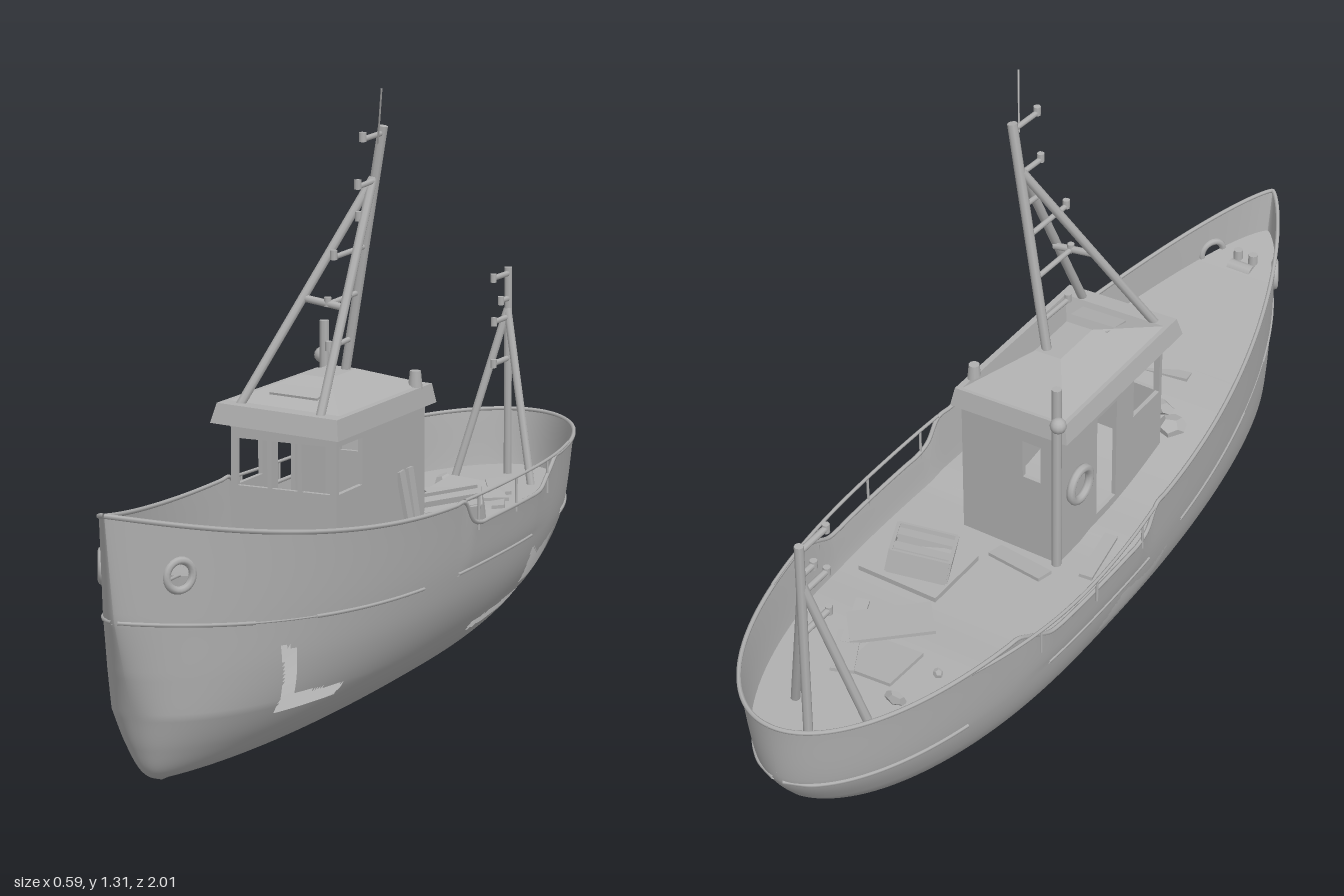
import * as THREE from 'three';

const grey = new THREE.MeshStandardMaterial({ color: 0xb0b0b0, side: THREE.DoubleSide });
grey.name = 'weathered grey';
const V = (x, y, z) => new THREE.Vector3(x, y, z);

function add(parent, name, geo, pos = [0, 0, 0], rot = [0, 0, 0]) {
  const m = new THREE.Mesh(geo, grey);
  m.name = name;
  m.position.set(...pos);
  m.rotation.set(...rot);
  parent.add(m);
  return m;
}
// straight round bar between two points
function bar(parent, name, a, b, r) {
  const p = V(...a), d = V(...b).sub(p);
  const m = add(parent, name, new THREE.CylinderGeometry(r, r, d.length(), 8));
  m.position.copy(p).addScaledVector(d, 0.5);
  m.quaternion.setFromUnitVectors(V(0, 1, 0), d.normalize());
}
const pipe = (parent, name, pts, r) =>
  add(parent, name, new THREE.TubeGeometry(new THREE.CatmullRomCurve3(pts), pts.length * 3, r, 6));

// hull levels from keel to bulwark top: half width, height / bow z, stern z
const section = new THREE.CatmullRomCurve3([[0, 0.005], [0.1, 0.025], [0.165, 0.07], [0.215, 0.13],
  [0.25, 0.2], [0.271, 0.285], [0.287, 0.443]].map(p => V(p[0], p[1], 0)));
const ends = new THREE.CatmullRomCurve3([[0.8, -0.62], [0.85, -0.68], [0.88, -0.76], [0.905, -0.85],
  [0.935, -0.93], [0.97, -0.985], [1, -1]].map(p => V(p[0], p[1], 0)));
const RUB = 5 / 6;
const clamp = THREE.MathUtils.clamp;
// outline in plan: round stern, pointed bow that is fuller low down
const plan = (t, v) => t < 0.4
  ? Math.max(0, 1 - ((0.4 - t) / 0.4) ** 2.4) ** (0.5 + 0.25 * (1 - v))
  : Math.max(0, 1 - ((t - 0.4) / 0.6) ** 2.2) ** Math.max(0.45, 0.1 + 0.7 * v);

function hullPoint(t, v, side) {
  const s = section.getPoint(v), e = ends.getPoint(v);
  const z = e.y + (e.x - e.y) * t, fore = Math.max(0, z);
  const dip = 0.058 * clamp(Math.min(-z / 0.05, (z + 0.52) / 0.11), 0, 1);
  const y = s.y + 0.15 * fore ** 2 * (s.y / 0.443) + 0.04 * fore ** 3 * (1 - v) - dip * Math.max(0, v - RUB) * 6;
  return V(side * s.x * plan(t, v), y, z);
}
const tAt = (z, v) => { const e = ends.getPoint(v); return clamp((z - e.y) / (e.x - e.y), 0, 1); };

// wreck holes as outlines in z, y for each side
const holes = {
  1: [[[0.63, 0.28], [0.58, 0.255], [0.567, 0.163], [0.395, 0.142], [0.41, 0.12], [0.615, 0.13], [0.61, 0.2]],
    [[-0.43, 0.255], [-0.487, 0.225], [-0.615, 0.255], [-0.59, 0.2], [-0.585, 0.16], [-0.43, 0.165]],
    [[-0.19, 0.108], [-0.187, 0.128], [-0.43, 0.145], [-0.58, 0.145], [-0.57, 0.125], [-0.525, 0.11]]],
  [-1]: [[[0.1, 0.25], [0.02, 0.23], [-0.1, 0.26], [-0.2, 0.2], [-0.05, 0.18], [0.06, 0.2]]]
};
function inside(poly, z, y) {
  let c = false;
  poly.forEach(([az, ay], i) => {
    const [bz, by] = poly[(i + 1) % poly.length];
    if ((ay > y) !== (by > y) && z < az + (bz - az) * (y - ay) / (by - ay)) c = !c;
  });
  return c;
}
function gridGeometry(pos, idx) {
  const g = new THREE.BufferGeometry();
  g.setAttribute('position', new THREE.Float32BufferAttribute(pos, 3));
  g.setIndex(idx);
  g.computeVertexNormals();
  return g;
}
const along = (i, n) => (1 - Math.cos(Math.PI * i / n)) / 2;
function hullSide(side) {
  const N = 260, M = 60, P = [], idx = [];
  for (let j = 0; j <= M; j++) for (let i = 0; i <= N; i++) P.push(hullPoint(along(i, N), j / M, side));
  const tri = (a, b, c) => {
    const z = (P[a].z + P[b].z + P[c].z) / 3, y = (P[a].y + P[b].y + P[c].y) / 3;
    if (Math.hypot(z - 0.87, y - 0.46) < 0.026 || holes[side].some(h => inside(h, z, y))) return;
    side > 0 ? idx.push(a, b, c) : idx.push(a, c, b);
  };
  for (let j = 0; j < M; j++) for (let i = 0; i < N; i++) {
    const a = j * (N + 1) + i, up = a + N + 1;
    tri(a, up, a + 1);
    tri(a + 1, up, up + 1);
  }
  return gridGeometry(P.flatMap(p => p.toArray()), idx);
}
// deck spans the hull, rising a little towards the bow
function deckGeometry() {
  const N = 80, pos = [], idx = [];
  for (let i = 0; i <= N; i++) for (const s of [-1, 1]) {
    const t = along(i, N), p = hullPoint(t, 0.86 + 0.06 * THREE.MathUtils.smoothstep(t, 0.52, 0.75), s);
    pos.push(p.x * 0.995, p.y, p.z);
    if (s > 0 && i < N) { const a = i * 2; idx.push(a, a + 2, a + 1, a + 1, a + 2, a + 3); }
  }
  return gridGeometry(pos, idx);
}
// points along the hull at one level between two z values
const hullLine = (z0, z1, v, side, n) => Array.from({ length: n + 1 }, (_, i) =>
  hullPoint(tAt(z0 + (z1 - z0) * i / n, v), v, side));

// flat wall with rectangular openings [x0, y0, x1, y1]
function wall(w0, w1, y0, y1, openings) {
  const rect = (S, a, b, c, d) => { const s = new S(); s.moveTo(a, b); s.lineTo(c, b); s.lineTo(c, d); s.lineTo(a, d); s.closePath(); return s; };
  const shape = rect(THREE.Shape, w0, y0, w1, y1);
  shape.holes = openings.map(o => rect(THREE.Path, ...o));
  return new THREE.ExtrudeGeometry(shape, { depth: 0.01, bevelEnabled: false });
}
// box whose top face is scaled in
function taperedBox(w, h, d, sx, sz) {
  const g = new THREE.BoxGeometry(w, h, d).toNonIndexed(), p = g.attributes.position;
  for (let i = 0; i < p.count; i++) if (p.getY(i) > 0) { p.setX(i, p.getX(i) * sx); p.setZ(i, p.getZ(i) * sz); }
  g.computeVertexNormals();
  return g;
}

export function createModel() {
  const boat = new THREE.Group();
  boat.name = 'wreckedBoat';
  const group = name => { const g = new THREE.Group(); g.name = name; boat.add(g); return g; };

  // hull, deck, rails and hawse rings
  const hull = group('hull');
  for (const s of [1, -1]) {
    add(hull, 'hullSide', hullSide(s));
    pipe(hull, 'capRail', Array.from({ length: 81 }, (_, i) => hullPoint(along(i, 80), 1, s)), 0.005);
    for (const [a, b, r] of [[0.968, 0.7, 0.004], [0.7, 0.53, 0.002], [0.53, 0.15, 0.004], [0, -0.4, 0.004], [-0.65, -0.984, 0.005]])
      pipe(hull, 'rubRail', hullLine(a, b, RUB, s, 16), r);
    const ringX = hullPoint(tAt(0.87, 0.92), 0.92, s).x;
    add(hull, 'hawseRing', new THREE.TorusGeometry(0.029, 0.008, 8, 24), [ringX, 0.46, 0.87], [0, s * 1.05, 0]);
  }
  add(hull, 'deck', deckGeometry());

  // side rails over the low bulwark, the right one bent outward
  const rails = group('rails');
  for (const s of [1, -1]) {
    const pts = hullLine(0, -0.66, 1, s, 10);
    pts.forEach((p, i) => { p.y = s > 0 ? 0.447 : 0.44 - 0.015 * Math.sin(i * 0.31); if (s < 0) p.x -= 0.012 * Math.sin(i * 0.31); });
    pipe(rails, 'handRail', pts, 0.004);
    for (const i of [1, 4, 7]) bar(rails, 'railPost', [pts[i].x, 0.37, pts[i].z], pts[i].toArray(), 0.003);
  }

  // wheelhouse
  const cabin = group('wheelhouse');
  add(cabin, 'leftWall', wall(-0.29, 0.135, 0.29, 0.64, [[-0.283, 0.5, -0.17, 0.6]]), [0.115, 0, 0], [0, Math.PI / 2, 0]);
  add(cabin, 'rightWall', wall(-0.135, 0.29, 0.29, 0.64, [[0.17, 0.5, 0.283, 0.6], [0.02, 0.33, 0.1, 0.59]]), [-0.11, 0, 0], [0, -Math.PI / 2, 0]);
  add(cabin, 'frontWall', wall(-0.12, 0.125, 0.29, 0.64, [[-0.105, 0.5, -0.035, 0.6], [-0.025, 0.5, 0.035, 0.6], [0.045, 0.5, 0.11, 0.6]]), [0, 0, 0.28]);
  add(cabin, 'backWall', wall(-0.12, 0.125, 0.29, 0.64, [[-0.075, 0.5, -0.03, 0.595]]), [0, 0, -0.135]);
  add(cabin, 'roofRim', taperedBox(0.295, 0.042, 0.475, 0.94, 0.96), [0.003, 0.65, 0.095], [0, 0, -0.045]);
  add(cabin, 'roofCrown', taperedBox(0.26, 0.045, 0.42, 0.25, 0.3), [0.003, 0.692, 0.08], [0, 0, -0.045]);
  add(cabin, 'roofHatch', new THREE.BoxGeometry(0.11, 0.012, 0.08), [0, 0.692, 0.2], [0.2, 0, -0.04]);
  add(cabin, 'lifeRing', new THREE.TorusGeometry(0.038, 0.01, 8, 24), [-0.128, 0.47, -0.06], [0, Math.PI / 2, 0]);
  bar(cabin, 'exhaustPipe', [-0.125, 0.31, -0.15], [-0.125, 0.78, -0.15], 0.011);
  add(cabin, 'lamp', new THREE.SphereGeometry(0.018, 12, 8), [-0.138, 0.7, -0.165]);
  add(cabin, 'roofLamp', new THREE.CylinderGeometry(0.012, 0.016, 0.04, 10), [0.128, 0.68, -0.08]);
  for (const [z, lean] of [[-0.02, 0.1], [-0.055, 0.02]])
    add(cabin, 'leaningPlank', new THREE.BoxGeometry(0.01, 0.19, 0.025), [0.14, 0.4, z], [lean, 0, 0.15]);

  // main mast, leaning
  const mast = group('mainMast');
  const foot = V(0.015, 0.69, 0.035), head = V(0.115, 1.235, 0.055);
  bar(mast, 'mastPole', foot.toArray(), head.toArray(), 0.011);
  for (const x of [-0.1, 0.092]) bar(mast, 'mastLeg', [x, 0.66, 0.3], [0.092, 1.125, 0.055], 0.01);
  bar(mast, 'crossBar', [-0.01, 0.885, 0.18], [0.092, 0.87, 0.18], 0.008);
  for (const [y, z] of [[0.78, 0.14], [0.88, 0.18], [0.98, 0.19], [1.05, 0.1], [1.12, 0.13], [1.22, 0.145]]) {
    const p = foot.clone().lerp(head, (y - foot.y) / (head.y - foot.y));
    bar(mast, 'mastArm', p.toArray(), [p.x, y - 0.005, z], 0.006);
    add(mast, 'mastLight', new THREE.CylinderGeometry(0.008, 0.008, 0.02, 8), [p.x, y, z]);
  }
  bar(mast, 'antenna', [0.115, 1.2, 0.08], [0.145, 1.318, 0.125], 0.002);

  // stern mast
  const aft = group('sternMast');
  bar(aft, 'sternPole', [0, 0.3, -0.88], [0, 0.81, -0.872], 0.01);
  for (const s of [1, -1]) bar(aft, 'sternLeg', [s * 0.1, 0.3, -0.79], [0, 0.71, -0.87], 0.01);
  for (const [y, z] of [[0.59, -0.79], [0.69, -0.79], [0.735, -0.83], [0.795, -0.785]]) {
    bar(aft, 'sternArm', [0, y, -0.875], [0, y, z], 0.007);
    add(aft, 'sternLight', new THREE.CylinderGeometry(0.008, 0.008, 0.02, 8), [0, y, z]);
  }

  // bow winch
  const winch = group('winch');
  for (const x of [-0.02, 0.02]) add(winch, 'bollard', new THREE.CylinderGeometry(0.011, 0.013, 0.07, 10), [x, 0.45, 0.88]);
  add(winch, 'winchDrum', new THREE.CylinderGeometry(0.02, 0.02, 0.06, 12), [0, 0.445, 0.86], [0, 0, Math.PI / 2]);

  // hatch with a tilted open crate
  const hatch = group('hatch');
  add(hatch, 'hatchPlate', new THREE.BoxGeometry(0.2, 0.012, 0.165), [0.125, 0.313, -0.31]);
  const crate = new THREE.Group();
  crate.name = 'crate';
  crate.position.set(0.115, 0.345, -0.31);
  crate.rotation.set(0.2, 0.45, 0.1);
  hatch.add(crate);
  for (const s of [-1, 1]) {
    add(crate, 'crateEnd', new THREE.BoxGeometry(0.008, 0.055, 0.12), [s * 0.065, 0, 0]);
    add(crate, 'crateSide', new THREE.BoxGeometry(0.13, 0.055, 0.008), [0, 0, s * 0.06]);
    add(crate, 'crateSlat', new THREE.BoxGeometry(0.13, 0.008, 0.03), [0, 0.02, s * 0.03]);
  }

  // loose boards and lumps on the deck: x, y, z, width, depth, turn
  const debris = group('debris');
  [[0, 0.325, -0.62, 0.12, 0.12, 0], [0.08, 0.33, -0.64, 0.05, 0.13, 0.5], [0.05, 0.333, -0.52, 0.18, 0.1, 0.7],
    [0.12, 0.325, -0.55, 0.03, 0.15, 0.4], [-0.07, 0.33, -0.21, 0.15, 0.04, -0.2], [0.08, 0.375, 0.37, 0.13, 0.08, 0.3],
    [-0.02, 0.39, 0.48, 0.12, 0.03, 0.1], [-0.2, 0.33, -0.1, 0.03, 0.16, 0.2]]
    .forEach(([x, y, z, w, d, r], i) => add(debris, 'board', new THREE.BoxGeometry(w, 0.008, d), [x, y, z], [0.06, r, 0.08 * (i % 2 ? 1 : -1)]));
  [[-0.16, 0.315, -0.66, 0.03], [-0.08, 0.315, -0.69, 0.025], [-0.11, 0.315, -0.58, 0.012],
    [-0.12, 0.365, 0.34, 0.035], [-0.07, 0.37, 0.38, 0.035], [0.12, 0.365, 0.34, 0.03]]
    .forEach(([x, y, z, r], i) => add(debris, 'lump', new THREE.DodecahedronGeometry(r), [x, y, z], [i, i * 2, 0]).scale.set(1, 0.6, 1));
  return boat;
}
